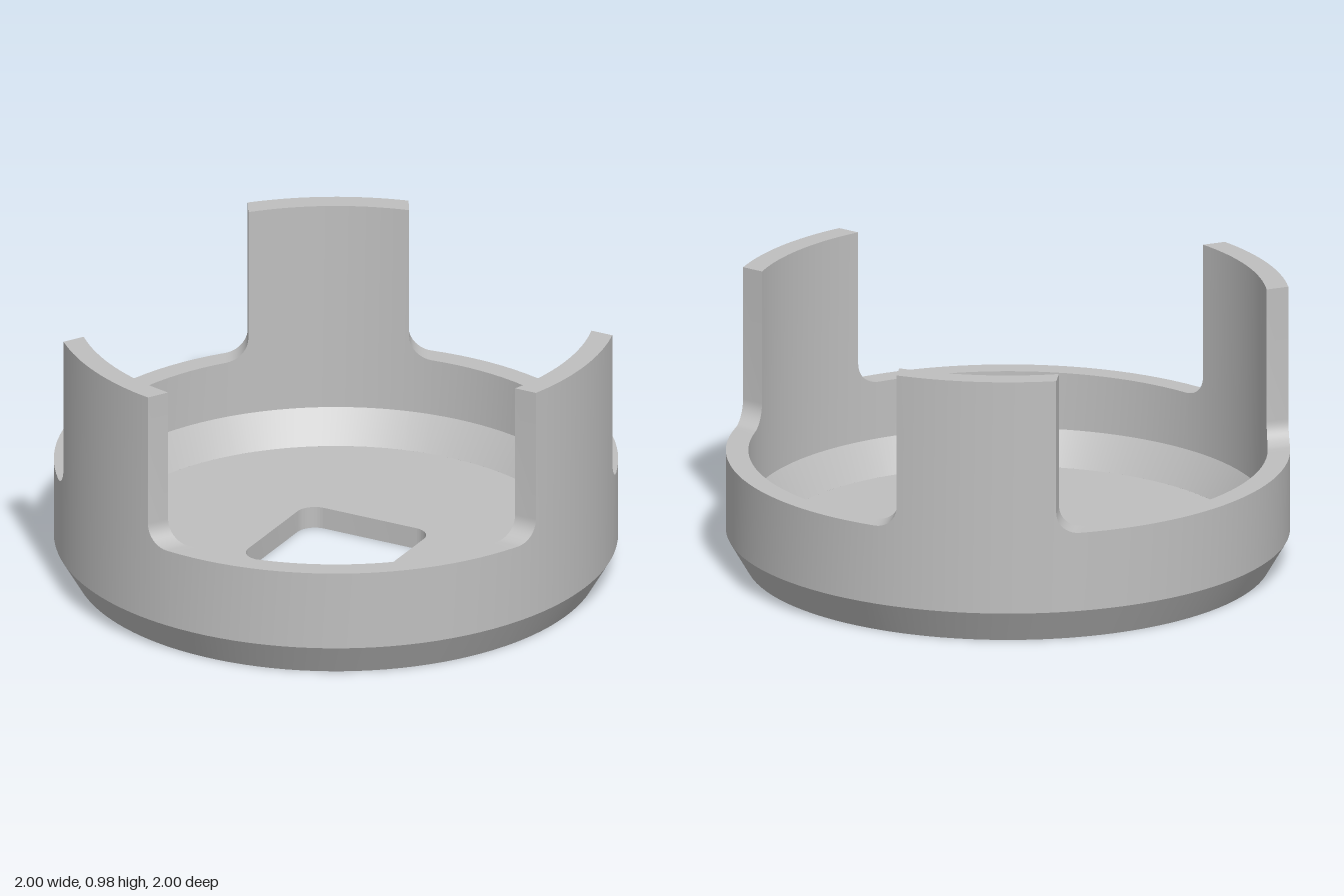
import * as THREE from 'three';
import { toCreasedNormals } from 'three/addons/utils/BufferGeometryUtils.js';

const OUTER = 1, INNER = 0.92;        // wall radii
const BASE_OUT = 0.93, BASE_IN = 0.85; // radii at the foot of the chamfers
const FLOOR = 0.08, RIM = 0.41, TOP = 0.98;
const HALF_PRONG = 0.285, FILLET = 0.08;

// Half of one 120 degree sector: angle on the outer and inner face, and wall height
function halfSector() {
  const list = [];
  const add = (u, top) => list.push({ out: Math.asin(u / OUTER), inn: Math.asin(u / INNER), top });
  for (let i = 0; i <= 8; i++) add(HALF_PRONG * i / 8, TOP);
  for (let i = 0; i <= 10; i++) {
    const t = i / 10 * Math.PI / 2;
    add(HALF_PRONG + FILLET * (1 - Math.cos(t)), RIM + FILLET * (1 - Math.sin(t)));
  }
  const end = list[list.length - 1];
  for (let i = 1; i <= 12; i++) {
    list.push({
      out: THREE.MathUtils.lerp(end.out, Math.PI / 3, i / 12),
      inn: THREE.MathUtils.lerp(end.inn, Math.PI / 3, i / 12),
      top: RIM,
    });
  }
  return list;
}

// Round wall with chamfered foot and three prongs, from one cross-section per station
function wallGeometry() {
  const half = halfSector();
  const mirrored = half.slice(1).reverse().map((s) => ({ out: -s.out, inn: -s.inn, top: s.top }));
  const sector = [...mirrored, ...half.slice(0, -1)];
  const rings = [];
  for (let k = 0; k < 3; k++) {
    const turn = k * Math.PI * 2 / 3;
    for (const { out, inn, top } of sector) {
      rings.push([
        [BASE_OUT, 0, out], [OUTER, 0.12, out], [OUTER, top, out],
        [INNER, top, inn], [INNER, 0.2, inn], [BASE_IN, FLOOR, inn], [BASE_IN, 0, inn],
      ].map(([r, y, a]) => new THREE.Vector3(r * Math.cos(a + turn), y, r * Math.sin(a + turn))));
    }
  }
  const pos = [];
  const triangle = (a, b, c) => {
    const area = b.clone().sub(a).cross(c.clone().sub(a)).length();
    if (area > 1e-9) for (const p of [a, b, c]) pos.push(p.x, p.y, p.z);
  };
  rings.forEach((ring, i) => {
    const next = rings[(i + 1) % rings.length];
    for (let j = 0; j < ring.length; j++) {
      const m = (j + 1) % ring.length;
      triangle(ring[j], ring[m], next[j]);
      triangle(ring[m], next[m], next[j]);
    }
  });
  const geometry = new THREE.BufferGeometry();
  geometry.setAttribute('position', new THREE.Float32BufferAttribute(pos, 3));
  return toCreasedNormals(geometry, 0.42);
}

// Floor disc with a rounded square hole
function floorGeometry() {
  const shape = new THREE.Shape().absarc(0, 0, BASE_IN, 0, Math.PI * 2, false);
  const h = 0.254, r = 0.07, c = h - r;
  const hole = new THREE.Path();
  [[c, c], [-c, c], [-c, -c], [c, -c]].forEach(([x, y], i) => {
    hole.absarc(x, y, r, i * Math.PI / 2, (i + 1) * Math.PI / 2, false);
  });
  hole.closePath();
  shape.holes.push(hole);
  const geometry = new THREE.ExtrudeGeometry(shape, { depth: FLOOR, bevelEnabled: false, curveSegments: 48 });
  geometry.rotateX(-Math.PI / 2);
  return toCreasedNormals(geometry, 0.5);
}

export function createModel() {
  const grey = new THREE.MeshStandardMaterial({ color: 0xbfbfbf });
  grey.name = 'grey';

  const model = new THREE.Group();
  model.name = 'prongedCup';
  const add = (name, geometry) => {
    const mesh = new THREE.Mesh(geometry, grey);
    mesh.name = name;
    model.add(mesh);
  };
  add('wallWithProngs', wallGeometry());
  add('floor', floorGeometry());
  return model;
}
